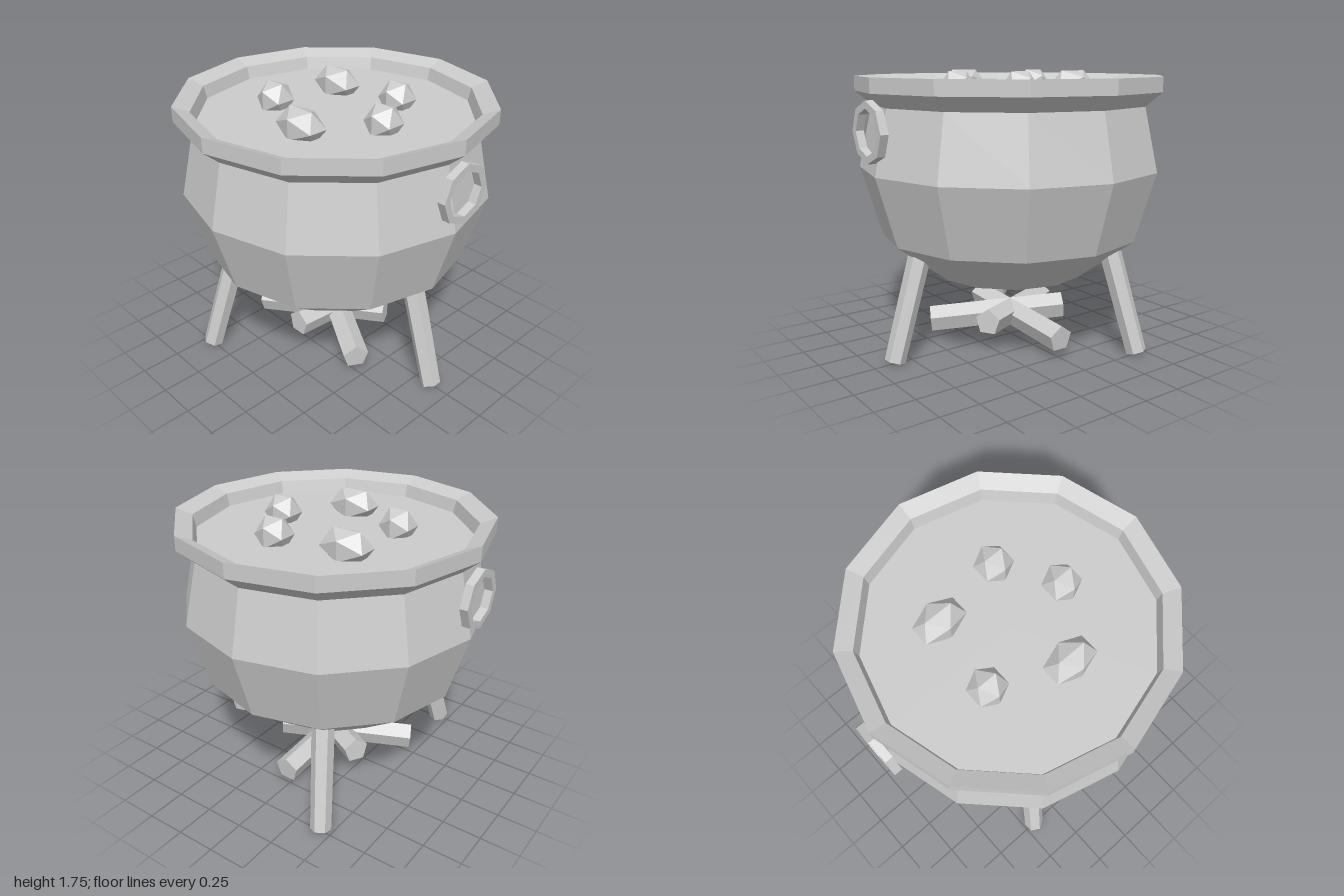
import * as THREE from 'three';

export function createModel() {
  const model = new THREE.Group();
  const grey = new THREE.MeshStandardMaterial({ color: 0xcccccc, flatShading: true });
  grey.name = 'stone grey';

  const add = (name, geometry, parent = model) => {
    const mesh = new THREE.Mesh(geometry, grey);
    mesh.name = name;
    parent.add(mesh);
    return mesh;
  };

  // Pot: twelve-sided belly, flared rim and inner wall
  const profile = [
    [0, 0.415], [0.48, 0.46], [0.825, 0.72], [0.955, 1.155], [0.87, 1.545],
    [0.97, 1.63], [0.97, 1.72], [0.87, 1.68], [0.85, 1.6],
  ].map(([r, y]) => new THREE.Vector2(r, y));
  add('pot', new THREE.LatheGeometry(profile, 12));

  // Stew surface
  const stew = [new THREE.Vector2(0.85, 1.6), new THREE.Vector2(0, 1.6)];
  add('stewSurface', new THREE.LatheGeometry(stew, 12));

  // Chunks floating in the stew: x, z, stretch along x
  const chunks = [
    [-0.28, -0.275, 1.45], [0.18, -0.345, 1], [0.39, 0, 1],
    [-0.335, 0.195, 1], [0.105, 0.375, 1.45],
  ];
  for (const [x, z, stretch] of chunks) {
    const chunk = add('stewChunk', new THREE.IcosahedronGeometry(0.119, 0));
    chunk.position.set(x, 1.65, z);
    chunk.scale.x = stretch;
  }

  // Octagonal ring handles on both sides
  const octagon = (r) => Array.from({ length: 8 }, (_, i) => {
    const a = (i * Math.PI) / 4;
    return new THREE.Vector2(r * Math.cos(a), r * Math.sin(a));
  });
  const ring = new THREE.Shape(octagon(0.18));
  ring.holes.push(new THREE.Path(octagon(0.135)));
  const ringGeometry = new THREE.ExtrudeGeometry(ring, { depth: 0.05, bevelEnabled: false });
  ringGeometry.translate(0, 0, -0.025).rotateY(Math.PI / 2);
  for (const side of [1, -1]) {
    const name = side > 0 ? 'leftHandle' : 'rightHandle';
    add(name, ringGeometry).position.set(side * 0.975, 1.415, 0);
  }

  // Three splayed legs with a flat side facing out
  const top = new THREE.Vector2(0.65, 0.75);
  const foot = new THREE.Vector2(0.865, 0.019);
  const legGeometry = new THREE.CylinderGeometry(0.07, 0.064, top.distanceTo(foot), 6);
  legGeometry.rotateZ(Math.atan2(foot.x - top.x, top.y - foot.y));
  legGeometry.translate((top.x + foot.x) / 2, (top.y + foot.y) / 2, 0);

  // Three crossed firewood logs, each with one end raised
  const logGeometry = new THREE.CylinderGeometry(0.085, 0.085, 0.88, 5, 1, false, Math.PI);
  logGeometry.rotateX(Math.PI / 2 - 0.076).translate(0, 0.163, -0.09);

  for (let i = 0; i < 3; i++) {
    const turn = (i * Math.PI * 2) / 3;
    add('leg', legGeometry).rotation.y = turn;
    add('firewoodLog', logGeometry).rotation.y = turn;
  }

  return model;
}
